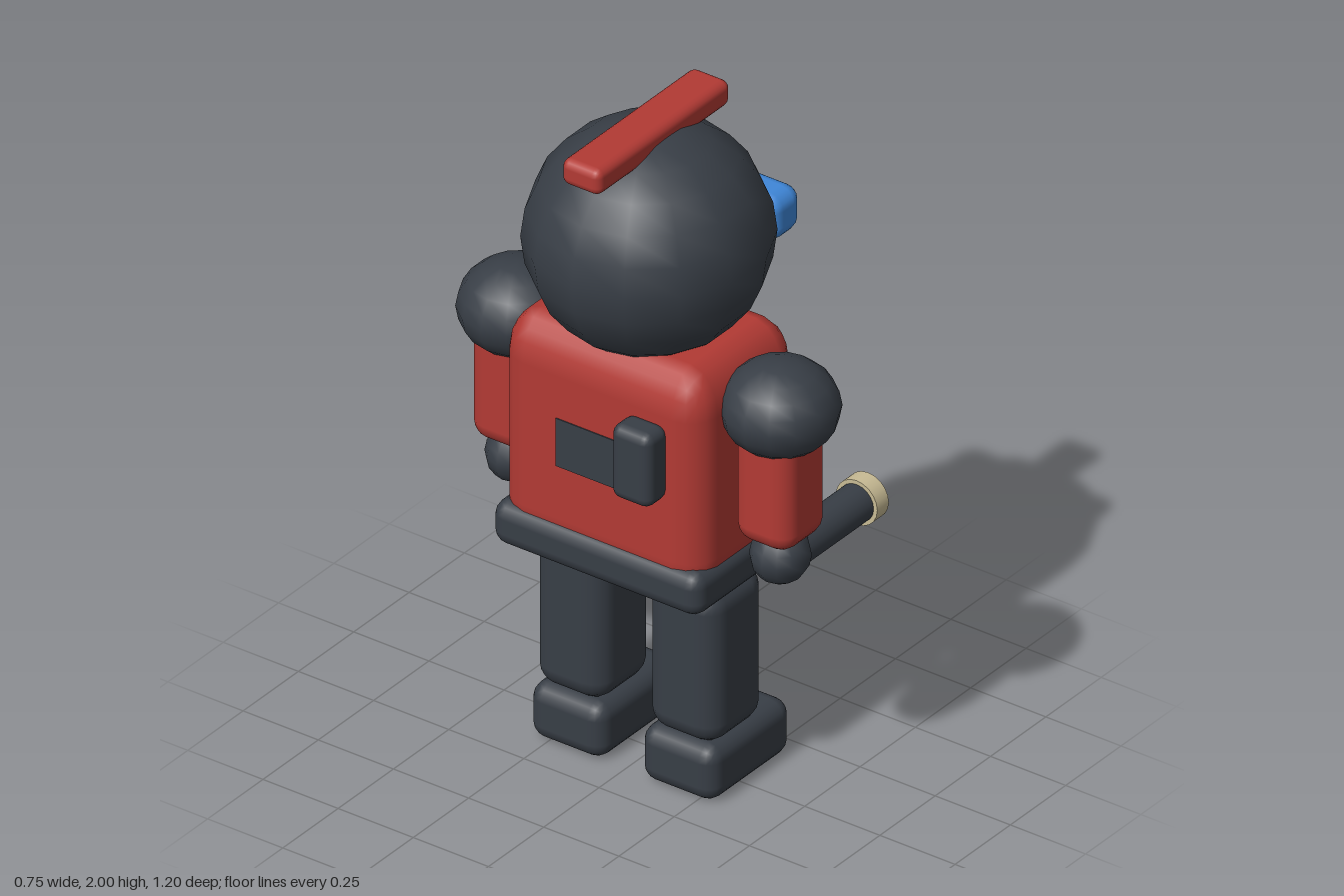
import * as THREE from 'three';
import { RoundedBoxGeometry } from 'three/addons/geometries/RoundedBoxGeometry.js';

const material = (name, color) => {
  const m = new THREE.MeshStandardMaterial({ color });
  m.name = name;
  return m;
};

export function createModel() {
  const model = new THREE.Group();
  model.name = 'helmetedFigure';

  const charcoal = material('charcoal', 0x383e46);
  const red = material('red', 0xb23a34);
  const blue = material('visorBlue', 0x3f87d9);
  const skin = material('skin', 0xb4825f);
  const cream = material('lensCream', 0xc9bc95);

  const add = (name, geometry, mat) => {
    const mesh = new THREE.Mesh(geometry, mat);
    mesh.name = name;
    model.add(mesh);
    return mesh;
  };

  // Rounded box given by its extents; stretchY lengthens the rounding upwards
  const box = (name, mat, [x0, x1], [y0, y1], [z0, z1], radius, stretchY = 1) => {
    const g = new RoundedBoxGeometry(x1 - x0, (y1 - y0) / stretchY, z1 - z0, 2, radius);
    g.scale(1, stretchY, 1);
    g.translate((x0 + x1) / 2, (y0 + y1) / 2, (z0 + z1) / 2);
    return add(name, g, mat);
  };

  const ball = (name, mat, [x, y, z], [rx, ry, rz], w, h) => {
    const g = new THREE.SphereGeometry(1, w, h);
    const mesh = add(name, g, mat);
    mesh.scale.set(rx, ry, rz);
    mesh.position.set(x, y, z);
    return mesh;
  };

  // Cylinder lying along x
  const rod = (name, mat, x0, x1, y, z, r) => {
    const g = new THREE.CylinderGeometry(r, r, x1 - x0, 20);
    g.rotateZ(-Math.PI / 2);
    add(name, g, mat).position.set((x0 + x1) / 2, y, z);
  };

  // Head: helmet, crest, visor, lower face
  ball('helmet', charcoal, [-0.025, 1.635, 0], [0.35, 0.335, 0.342], 14, 12);
  box('helmetCrest', red, [-0.34, 0.262], [1.92, 2.0], [-0.065, 0.065], 0.025);
  box('visor', blue, [0.2, 0.337], [1.563, 1.703], [-0.25, 0.25], 0.045);
  box('face', skin, [0.1, 0.265], [1.35, 1.475], [-0.165, 0.165], 0.03);

  // Body and belt
  box('torso', red, [-0.26, 0.21], [0.67, 1.385], [-0.337, 0.337], 0.09, 1.5);
  box('belt', charcoal, [-0.277, 0.23], [0.655, 0.79], [-0.347, 0.347], 0.045);

  // Chest and back gear
  box('chestPlate', charcoal, [0.18, 0.245], [0.915, 1.207], [-0.243, 0.243], 0.03);
  box('chestRadio', charcoal, [0.215, 0.262], [1.095, 1.195], [-0.185, -0.082], 0.012);
  box('backPouch', charcoal, [-0.342, -0.245], [0.995, 1.225], [0.1, 0.232], 0.03);
  const patch = add('backPatch', new THREE.BoxGeometry(0.006, 0.15, 0.22), charcoal);
  patch.position.set(-0.26, 1.045, -0.025);

  // Arms and legs on both sides
  for (const [side, s] of [['near', 1], ['far', -1]]) {
    const span = (a, b) => (s > 0 ? [a, b] : [-b, -a]);
    ball(side + 'Shoulder', charcoal, [-0.025, 1.25, s * 0.437], [0.167, 0.137, 0.167], 14, 10);
    box(side + 'Arm', red, [-0.128, 0.074], [0.845, 1.26], span(0.345, 0.533), 0.055);
    ball(side + 'Hand', charcoal, [-0.028, 0.788, s * 0.44], [0.087, 0.084, 0.084], 12, 8);
    box(side + 'Leg', charcoal, [-0.148, 0.102], [0.165, 0.647], span(0.07, 0.305), 0.065);
    box(side + 'Boot', charcoal, [-0.158, 0.21], [0, 0.172], span(0.06, 0.31), 0.048);
  }

  // Hand-held torch
  rod('torchHandle', charcoal, 0, 0.325, 0.774, 0.437, 0.057);
  rod('torchLens', cream, 0.32, 0.372, 0.774, 0.437, 0.069);

  return model;
}
